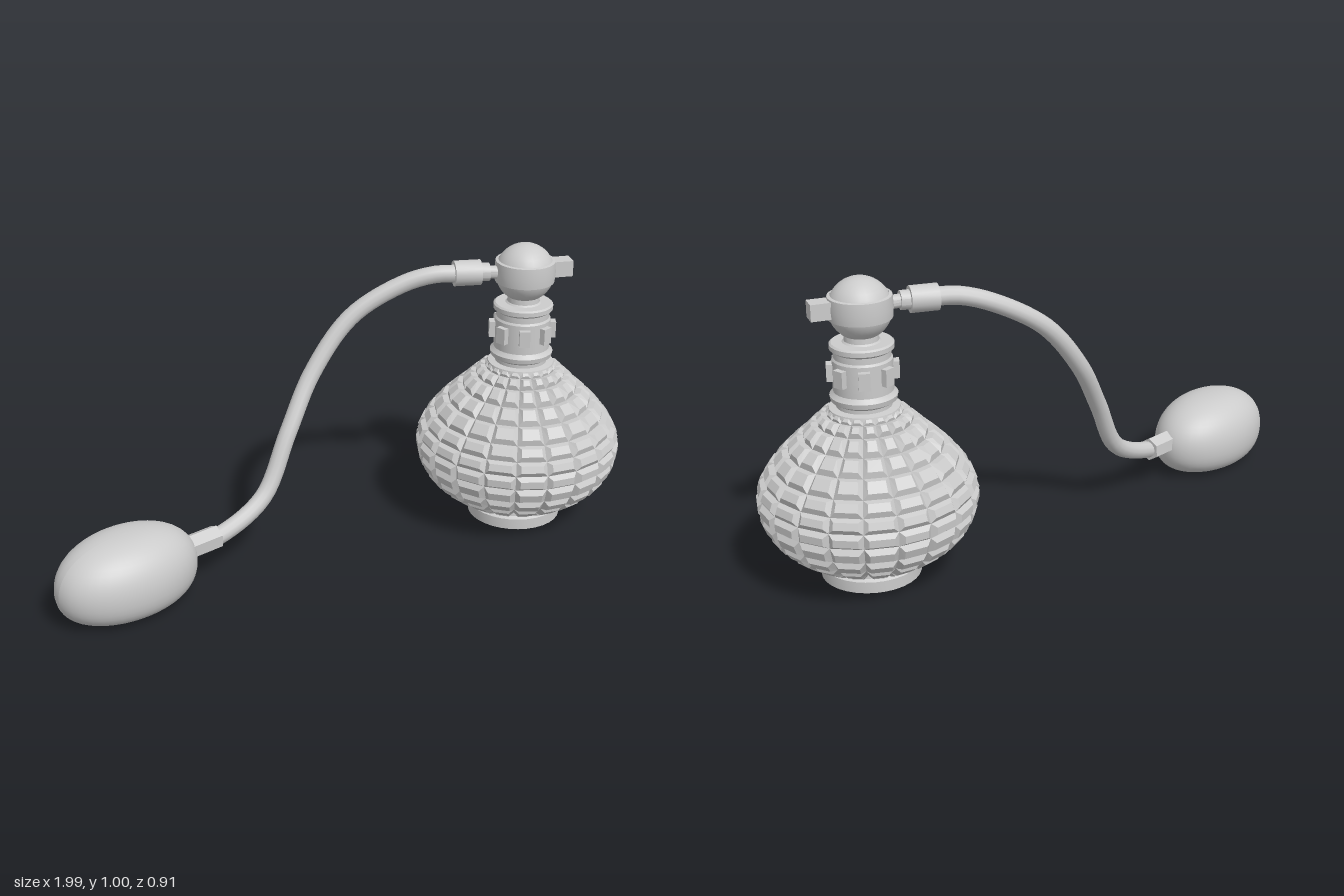
import * as THREE from 'three';
import { toCreasedNormals } from 'three/addons/utils/BufferGeometryUtils.js';

const grey = new THREE.MeshStandardMaterial({ color: 0xcccccc });
const faceted = new THREE.MeshStandardMaterial({ color: 0xcccccc, flatShading: true });
const V = (x, y, z) => new THREE.Vector3(x, y, z);

function add(parent, name, geometry, material = grey) {
  const mesh = new THREE.Mesh(geometry, material);
  mesh.name = name;
  parent.add(mesh);
  return mesh;
}

// Lathe from [radius, y] pairs, with sharp edges kept
function turned(points, sides = 32) {
  const g = new THREE.LatheGeometry(points.map(([r, y]) => new THREE.Vector2(r, y)), sides);
  return toCreasedNormals(g, 0.6);
}

// Round rod between two points
function rod(parent, name, a, b, radius, sides) {
  const g = new THREE.CylinderGeometry(radius, radius, a.distanceTo(b), sides);
  const mesh = add(parent, name, toCreasedNormals(g, 0.6));
  mesh.position.copy(a).lerp(b, 0.5);
  mesh.quaternion.setFromUnitVectors(V(0, 1, 0), b.clone().sub(a).normalize());
  return mesh;
}

// Cut-glass body: every cell is a bevelled, raised panel with grooves between
function cutGlass(profile, sides, raise, bevel) {
  const pos = [];
  const quad = (a, b, c, d) => [a, b, c, a, c, d].forEach((p) => pos.push(p.x, p.y, p.z));
  const point = ([r, y], i) => {
    const t = (i / sides) * Math.PI * 2;
    return V(r * Math.sin(t), y, r * Math.cos(t));
  };
  for (let j = 0; j < profile.length - 1; j++) {
    for (let i = 0; i < sides; i++) {
      const c = [point(profile[j], i), point(profile[j], i + 1),
        point(profile[j + 1], i + 1), point(profile[j + 1], i)];
      const normal = c[1].clone().sub(c[0]).cross(c[3].clone().sub(c[0])).normalize();
      const height = c[0].distanceTo(c[3]);
      const width = c[0].distanceTo(c[1]);
      const u = Math.min(0.25, bevel / width);
      const v = Math.min(0.25, bevel / height);
      const inset = (s, t) => c[0].clone().lerp(c[1], s)
        .lerp(c[3].clone().lerp(c[2], s), t)
        .addScaledVector(normal, Math.min(raise, height * 0.35));
      const p = [inset(u, v), inset(1 - u, v), inset(1 - u, 1 - v), inset(u, 1 - v)];
      quad(...p);
      for (let k = 0; k < 4; k++) {
        const n = (k + 1) % 4;
        quad(c[k], c[n], p[n], p[k]);
      }
    }
  }
  const g = new THREE.BufferGeometry();
  g.setAttribute('position', new THREE.Float32BufferAttribute(pos, 3));
  g.computeVertexNormals();
  return g;
}

export function createModel() {
  const model = new THREE.Group();
  model.name = 'perfumeAtomizer';

  const bottle = new THREE.Group();
  bottle.name = 'bottle';
  bottle.position.set(0.64, 0, -0.105);
  model.add(bottle);

  // Glass body
  const profile = [[0.155, 0.065], [0.225, 0.1], [0.285, 0.145], [0.318, 0.19],
    [0.338, 0.245], [0.34, 0.295], [0.322, 0.34], [0.29, 0.385], [0.245, 0.435],
    [0.195, 0.48], [0.15, 0.525], [0.12, 0.555], [0.105, 0.572]];
  add(bottle, 'glassBody', cutGlass(profile, 20, 0.016, 0.014), faceted);

  // Hollow foot ring with a recessed base
  add(bottle, 'foot', turned([[0, 0.04], [0.135, 0.03], [0.145, 0], [0.162, 0],
    [0.162, 0.038], [0.15, 0.045], [0.148, 0.06], [0.158, 0.068]]));

  // Metal collar
  add(bottle, 'collar', turned([[0.115, 0.565], [0.112, 0.577], [0.088, 0.58], [0.088, 0.592],
    [0.104, 0.602], [0.107, 0.618], [0.1, 0.625], [0.095, 0.632], [0.095, 0.735],
    [0.09, 0.742], [0.09, 0.762], [0.101, 0.77], [0.101, 0.785], [0.095, 0.79], [0, 0.79]]));
  for (let i = 0; i < 8; i++) {
    const a = ((-13 + i * 45) * Math.PI) / 180;
    const stud = add(bottle, 'collarStud', new THREE.BoxGeometry(0.036, 0.056, 0.03));
    stud.position.set(0.098 * Math.sin(a), 0.694, 0.098 * Math.cos(a));
    stud.rotation.y = a;
  }

  // Ball-shaped spray head with a raised band
  add(bottle, 'headStem', turned([[0.066, 0.785], [0.055, 0.795], [0.053, 0.82], [0.075, 0.84]]));
  const ball = add(bottle, 'headBall', new THREE.SphereGeometry(0.1, 28, 18));
  ball.position.y = 0.896;
  add(bottle, 'headBand', turned([[0.09, 0.865], [0.1, 0.867], [0.103, 0.9], [0.1, 0.938], [0.09, 0.94]]));
  const nozzle = add(bottle, 'nozzle', new THREE.BoxGeometry(0.1, 0.054, 0.056));
  nozzle.position.set(0.11, 0.905, 0);

  // Curved hose and its fittings
  const path = new THREE.CatmullRomCurve3([
    V(-0.56, 0.14, 0.188), V(-0.45, 0.145, 0.135), V(-0.29, 0.225, 0.05),
    V(-0.19, 0.42, -0.02), V(-0.09, 0.6, -0.095), V(0.05, 0.77, -0.138),
    V(0.22, 0.87, -0.138), V(0.33, 0.903, -0.123), V(0.42, 0.905, -0.11)]);
  add(model, 'hose', new THREE.TubeGeometry(path, 48, 0.03, 12));
  rod(model, 'bulbFitting', V(-0.57, 0.14, 0.19), V(-0.46, 0.143, 0.135), 0.041, 6);
  rod(model, 'hoseFitting', V(0.395, 0.905, -0.115), V(0.485, 0.905, -0.11), 0.043, 20);
  rod(model, 'hoseFittingNeck', V(0.48, 0.905, -0.11), V(0.515, 0.905, -0.108), 0.031, 20);
  rod(model, 'headPipe', V(0.5, 0.905, -0.109), V(0.57, 0.9, -0.105), 0.022, 16);

  // Squeeze bulb: a sphere made fuller on top and flat where it rests
  const g = new THREE.SphereGeometry(1, 40, 28);
  const p = g.attributes.position;
  for (let i = 0; i < p.count; i++) {
    const y = p.getY(i);
    const full = 1 - Math.pow(1 - Math.min(1, Math.abs(y)), y > 0 ? 1.2 : 1.7);
    p.setXYZ(i, p.getX(i) * 0.25, y > 0 ? 0.15 * full : -0.115 * full, p.getZ(i) * 0.162);
  }
  g.computeVertexNormals();
  const bulb = add(model, 'squeezeBulb', g);
  bulb.position.set(-0.767, 0.115, 0.27);
  bulb.rotation.y = (28 * Math.PI) / 180;

  return model;
}
